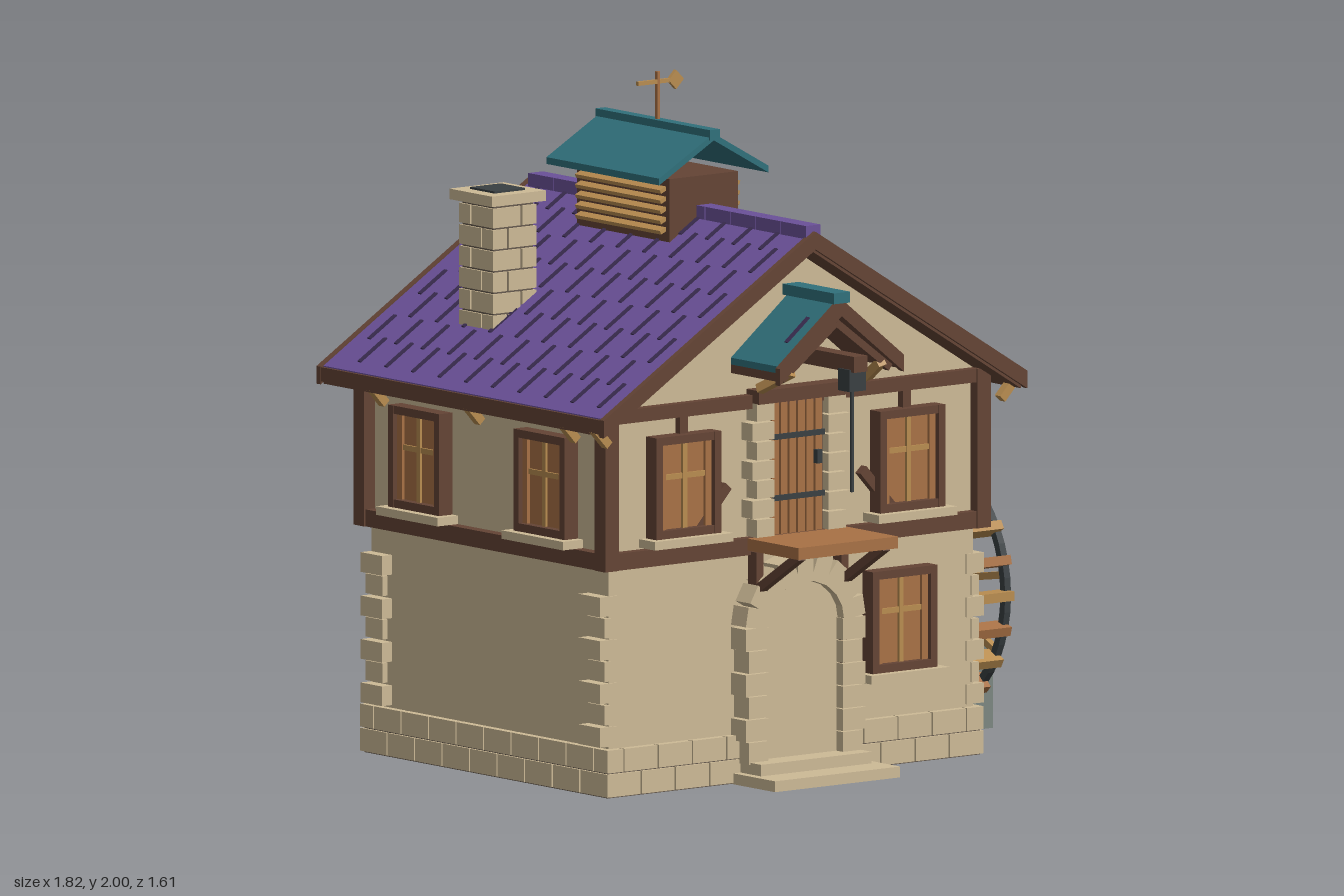
import * as THREE from 'three';

const M = {};
for (const [name, color] of Object.entries({
  limestone: 0xcdba96, mortar: 0x665a4e, timber: 0x644435, wood: 0xa87145, paleWood: 0xb88c50,
  iron: 0x393f42, purpleTile: 0x6b5199, tileShadow: 0x3a2c50, tealTile: 0x30707b, greyStone: 0x7c8781,
})) M[name] = new THREE.MeshStandardMaterial({ color, name });

const C = -0.128, FRONT = 0.475, BACK = -0.64, HALF = 0.675, MIDZ = (FRONT + BACK) / 2, PITCH = 0.615;

function add(parent, name, geo, mat) {
  const m = new THREE.Mesh(geo, mat);
  m.name = name;
  parent.add(m);
  return m;
}
// Box given by its extents on each axis
function box(parent, name, mat, x0, x1, y0, y1, z0, z1) {
  const m = add(parent, name, new THREE.BoxGeometry(x1 - x0, y1 - y0, z1 - z0), mat);
  m.position.set((x0 + x1) / 2, (y0 + y1) / 2, (z0 + z1) / 2);
  return m;
}
// Square bar between two points of the parent's frame
function bar(parent, name, mat, a, b, t = 0.03) {
  const p = new THREE.Vector3(...a), q = new THREE.Vector3(...b);
  const m = add(parent, name, new THREE.BoxGeometry(t, p.distanceTo(q), t), mat);
  m.position.copy(p).add(q).multiplyScalar(0.5);
  m.quaternion.setFromUnitVectors(new THREE.Vector3(0, 1, 0), q.sub(p).normalize());
  return m;
}
function group(parent, name) {
  const g = new THREE.Group();
  g.name = name;
  parent.add(g);
  return g;
}
function extrude(parent, name, mat, pts, z0, z1) {
  const shape = new THREE.Shape(pts.map(p => new THREE.Vector2(...p)));
  const m = add(parent, name, new THREE.ExtrudeGeometry(shape, { depth: z1 - z0, bevelEnabled: false }), mat);
  m.position.z = z0;
  return m;
}
// Two-sided roof slab with vertical thickness t
function chevron(parent, name, mat, top, hw, pitch, t, z0, z1) {
  const e = top - hw * pitch;
  return extrude(parent, name, mat, [[C - hw, e - t], [C, top - t], [C + hw, e - t], [C + hw, e], [C, top], [C - hw, e]], z0, z1);
}
// Window facing +z, origin at its centre on the wall
function windowUnit(parent, x, y, z, ry) {
  const g = group(parent, 'window');
  g.position.set(x, y, z);
  g.rotation.y = ry;
  const w = 0.12, h = 0.15;
  box(g, 'windowPane', M.wood, -w + 0.02, w - 0.02, -h + 0.02, h - 0.02, 0, 0.024);
  for (const s of [-1, 1]) {
    box(g, 'windowJamb', M.timber, s * (w - 0.012) - 0.012, s * (w - 0.012) + 0.012, -h, h, 0, 0.05);
    box(g, 'windowRail', M.timber, -w, w, s * (h - 0.012) - 0.012, s * (h - 0.012) + 0.012, 0, 0.049);
    box(g, 'sashStile', M.wood, s * 0.085 - 0.011, s * 0.085 + 0.011, -h + 0.024, h - 0.024, 0, 0.035);
  }
  box(g, 'mullion', M.paleWood, -0.008, 0.008, -h + 0.024, h - 0.024, 0, 0.032);
  box(g, 'glazingBar', M.paleWood, -0.074, 0.074, 0.02, 0.036, 0, 0.031);
  box(g, 'windowSill', M.limestone, -0.145, 0.145, -h - 0.025, -h, 0, 0.075);
}

function buildWalls(root) {
  const g = group(root, 'walls');
  extrude(g, 'wallBody', M.limestone, [[C - HALF, 0.02], [C + HALF, 0.02], [C + HALF, 1.155], [C, 1.57], [C - HALF, 1.155]], BACK, FRONT);
  box(g, 'foundation', M.mortar, C - 0.69, C + 0.69, 0, 0.14, BACK - 0.015, FRONT + 0.015);
  // Two courses of footing stones on every side
  for (let r = 0; r < 2; r++) {
    const y0 = 0.004 + r * 0.071, y1 = y0 + 0.067;
    for (const [len, isX] of [[1.396, true], [1.165, false]]) {
      const n = isX ? 11 : 9, step = len / n;
      for (let i = 0; i <= n; i++) {
        const a = Math.max(-len / 2, -len / 2 + (i - r * 0.5) * step), b = Math.min(len / 2, -len / 2 + (i + 1 - r * 0.5) * step) - 0.005;
        if (b - a < 0.02) continue;
        for (const s of [-1, 1]) {
          if (isX) {
            const z = s > 0 ? FRONT : BACK;
            box(g, 'footingStone', M.limestone, C + a, C + b, y0, y1, z + s * 0.012 - 0.012, z + s * 0.012 + 0.012);
          } else {
            const x = C + s * (HALF + 0.011);
            box(g, 'footingStone', M.limestone, x - 0.012, x + 0.012, y0, y1, MIDZ + a, MIDZ + b);
          }
        }
      }
    }
  }
  // Corner stones
  for (const s of [-1, 1]) for (const f of [-1, 1]) for (let i = 0; i < 7; i++) {
    const x = C + s * (HALF + 0.005), w = i % 2 ? 0.08 : 0.1, out = i % 2 ? 0.014 : 0.032, zc = f > 0 ? FRONT + 0.005 - w / 2 : BACK - 0.005 + w / 2;
    const y = 0.15 + i * 0.064;
    box(g, 'cornerStone', M.limestone, x - out, x + out, y, y + 0.058, zc - w / 2, zc + w / 2);
  }
}

function buildTimber(root) {
  const g = group(root, 'timberFrame');
  for (const s of [-1, 1]) {
    for (const z of [FRONT + 0.01, BACK - 0.01]) {
      box(g, 'cornerPost', M.timber, C + s * 0.69 - 0.025, C + s * 0.69 + 0.025, 0.67, 1.14, z - 0.025, z + 0.025);
      box(g, 'stud', M.timber, C + s * 0.413 - 0.015, C + s * 0.413 + 0.015, 0.7, 1.12, z - 0.012, z + 0.012);
      bar(g, 'brace', M.timber, [C + s * 0.36, 0.76, z], [C + s * 0.25, 0.88, z], 0.03);
    }
    for (const [a, b] of [[0.67, 0.72], [1.1, 1.14]])
      box(g, 'sideBeam', M.timber, C + s * 0.69 - 0.02, C + s * 0.69 + 0.02, a, b, BACK, FRONT);
    for (const z of [0.37, -0.08, -0.53])
      bar(g, 'eaveBracket', M.paleWood, [C + s * 0.765, 1.1, z], [C + s * 0.715, 1.045, z], 0.026);
    bar(g, 'vergeBracket', M.paleWood, [C + s * 0.775, 1.1, 0.535], [C + s * 0.728, 1.05, 0.535], 0.026);
  }
  for (const z of [FRONT + 0.01, BACK - 0.01]) for (const [a, b] of [[0.67, 0.72], [1.1, 1.14]])
    box(g, 'crossBeam', M.timber, C - 0.7, C + 0.7, a, b, z - 0.02, z + 0.02);
}

function buildRoof(root) {
  const g = group(root, 'roof');
  chevron(g, 'roofDeck', M.timber, 1.585, 0.77, PITCH, 0.03, -0.745, 0.58);
  chevron(g, 'roofTiles', M.purpleTile, 1.612, 0.775, PITCH, 0.028, -0.742, 0.578);
  for (const z of [-0.76, 0.572]) chevron(g, 'vergeBoard', M.timber, 1.616, 0.785, PITCH, 0.052, z, z + 0.02);
  for (const s of [-1, 1]) {
    box(g, 'eaveBoard', M.timber, C + s * 0.778 - 0.006, C + s * 0.778 + 0.006, 1.09, 1.132, -0.75, 0.575);
    // Gaps between tiles
    for (let i = 0; i < 20; i++) for (let k = 0; k < 4; k++) {
      const d = 0.13 + k * 0.187 - (i % 2) * 0.085;
      const m = add(g, 'tileGap', new THREE.BoxGeometry(0.115, 0.007, 0.014), M.tileShadow);
      m.position.set(C + s * d, 1.613 - d * PITCH, 0.51 - i * 0.0625);
      m.rotation.z = -s * Math.atan(PITCH);
    }
  }
  for (let i = 0; i < 11; i++) box(g, 'ridgeTile', M.purpleTile, C - 0.027, C + 0.027, 1.595, 1.634, 0.464 - i * 0.119, 0.58 - i * 0.119);
}

function buildChimney(root) {
  const g = group(root, 'chimney'), x = -0.592, z = -0.315;
  box(g, 'chimneyCore', M.mortar, x - 0.073, x + 0.073, 1.22, 1.65, z - 0.073, z + 0.073);
  for (let r = 0; r < 7; r++) {
    const y = 1.2 + r * 0.063, cut = r % 2 ? -0.025 : 0.025;
    for (const [a, b] of [[-0.08, cut - 0.003], [cut + 0.003, 0.08]]) for (const [c, d] of [[-0.08, -cut - 0.003], [0.003 - cut, 0.08]])
      box(g, 'chimneyStone', M.limestone, x + a, x + b, y, y + 0.057, z + c, z + d);
  }
  box(g, 'chimneyCap', M.limestone, x - 0.1, x + 0.1, 1.645, 1.676, z - 0.1, z + 0.1);
  box(g, 'flue', M.iron, x - 0.057, x + 0.057, 1.67, 1.682, z - 0.057, z + 0.057);
}

function buildCupola(root) {
  const g = group(root, 'cupola'), z = -0.152;
  box(g, 'cupolaBody', M.timber, C - 0.127, C + 0.127, 1.45, 1.72, z - 0.218, z + 0.218);
  for (const s of [-1, 1]) for (let i = 0; i < 5; i++) {
    const m = box(g, 'louvre', M.paleWood, C + s * 0.132 - 0.016, C + s * 0.132 + 0.016, 1.562 + i * 0.03, 1.574 + i * 0.03, z - 0.2, z + 0.2);
    m.rotation.z = -s * 0.4;
  }
  chevron(g, 'cupolaRoof', M.tealTile, 1.848, 0.203, 0.56, 0.02, z - 0.265, z + 0.265);
  box(g, 'cupolaRidge', M.tealTile, C - 0.018, C + 0.018, 1.83, 1.86, z - 0.27, z + 0.27);
  box(g, 'vaneRod', M.wood, C - 0.005, C + 0.005, 1.85, 2, z - 0.005, z + 0.005);
  box(g, 'vaneArm', M.paleWood, C - 0.075, C + 0.06, 1.964, 1.976, z - 0.005, z + 0.005);
  const tip = box(g, 'vaneTip', M.paleWood, C + 0.045, C + 0.085, 1.95, 1.99, z - 0.006, z + 0.006);
  tip.rotation.z = Math.PI / 4;
}

function buildEntrance(root) {
  const g = group(root, 'entrance');
  box(g, 'lowerStep', M.limestone, C - 0.232, C + 0.232, 0, 0.032, FRONT, 0.695);
  box(g, 'upperStep', M.limestone, C - 0.205, C + 0.205, 0.032, 0.066, FRONT, 0.595);
  const arc = Array.from({ length: 13 }, (_, i) => [C + 0.15 * Math.cos(i * Math.PI / 12), 0.46 + 0.14 * Math.sin(i * Math.PI / 12)]);
  extrude(g, 'lowerDoor', M.limestone, [[C - 0.15, 0.06], [C + 0.15, 0.06], ...arc], FRONT, 0.515);
  for (const s of [-1, 1]) {
    for (let i = 0; i < 6; i++) {
      const o = i % 2 ? 0.222 : 0.21;
      box(g, 'jambStone', M.limestone, C + s * (o + 0.138) / 2 - (o - 0.138) / 2, C + s * (o + 0.138) / 2 + (o - 0.138) / 2, 0.06 + i * 0.067, 0.124 + i * 0.067, FRONT, 0.545);
    }
    box(g, 'porchPost', M.timber, C + s * 0.158 - 0.013, C + s * 0.158 + 0.013, 0.29, 0.68, 0.49, 0.53);
    bar(g, 'porchStrut', M.timber, [C + s * 0.157, 0.56, 0.51], [C + s * 0.157, 0.69, 0.72], 0.026);
    // Stones beside the loft door
    for (let i = 0; i < 7; i++) {
      const o = i % 2 ? 0.182 : 0.165;
      box(g, 'loftJambStone', M.limestone, C + s * (o + 0.1) / 2 - (o - 0.1) / 2, C + s * (o + 0.1) / 2 + (o - 0.1) / 2, 0.722 + i * 0.057, 0.774 + i * 0.057, FRONT, 0.525);
    }
  }
  for (let i = 0; i < 9; i++) {
    const a = (i + 0.5) * Math.PI / 9;
    const m = add(g, 'archStone', new THREE.BoxGeometry(0.08, 0.058, 0.07), M.limestone);
    m.position.set(C + 0.18 * Math.cos(a), 0.46 + 0.16 * Math.sin(a), 0.51);
    m.rotation.z = a;
  }
  box(g, 'porchDeck', M.wood, C - 0.185, C + 0.185, 0.685, 0.72, FRONT, 0.745);
  box(g, 'loftDoorBack', M.timber, C - 0.1, C + 0.1, 0.72, 1.12, FRONT, 0.498);
  for (let i = 0; i < 6; i++) box(g, 'loftPlank', M.wood, C - 0.095 + i * 0.032, C - 0.07 + i * 0.032, 0.722, 1.115, 0.49, 0.508);
  for (const y of [0.83, 1.01]) box(g, 'hingeStrap', M.iron, C - 0.095, C + 0.095, y - 0.008, y + 0.008, 0.5, 0.515);
  box(g, 'latch', M.iron, C + 0.06, C + 0.078, 0.92, 0.96, 0.5, 0.525);
  box(g, 'loftLintel', M.timber, C - 0.165, C + 0.165, 1.115, 1.155, FRONT, 0.535);
  // Hoist canopy
  const h = group(root, 'hoistCanopy');
  chevron(h, 'canopyTiles', M.tealTile, 1.43, 0.222, 0.8, 0.02, FRONT, 0.7);
  chevron(h, 'canopyDeck', M.timber, 1.41, 0.222, 0.8, 0.025, FRONT, 0.7);
  chevron(h, 'canopyVerge', M.timber, 1.432, 0.23, 0.8, 0.05, 0.695, 0.715);
  box(h, 'canopyRidge', M.tealTile, C - 0.03, C + 0.03, 1.42, 1.452, FRONT, 0.716);
  for (const s of [-1, 1]) {
    const m = add(h, 'canopyTileGap', new THREE.BoxGeometry(0.105, 0.007, 0.014), M.tileShadow);
    m.position.set(C + s * 0.11, 1.431 - 0.088, 0.645);
    m.rotation.z = -s * Math.atan(0.8);
    bar(h, 'canopyBracket', M.paleWood, [C + s * 0.2, 1.17, 0.58], [C + s * 0.165, 1.23, 0.69], 0.026);
    bar(h, 'canopyRafter', M.timber, [C, 1.36, 0.68], [C + s * 0.2, 1.21, 0.68], 0.022);
  }
  box(h, 'hoistBeam', M.timber, C - 0.025, C + 0.025, 1.228, 1.275, FRONT, 0.805);
  box(h, 'pulley', M.iron, C - 0.03, C + 0.03, 1.17, 1.235, 0.735, 0.79);
  box(h, 'rope', M.iron, C - 0.004, C + 0.004, 0.87, 1.18, 0.758, 0.766);
}

function buildBackWindow(root) {
  const g = group(root, 'roundWindow');
  g.position.set(C, 1.28, BACK);
  g.rotation.y = Math.PI;
  const glass = add(g, 'roundGlass', new THREE.CylinderGeometry(0.085, 0.085, 0.02, 24), M.tealTile);
  glass.rotation.x = Math.PI / 2;
  for (let i = 0; i < 12; i++) {
    const a = i * Math.PI / 6, m = add(g, 'ringStone', new THREE.BoxGeometry(0.03, 0.047, 0.05), M.limestone);
    m.position.set(0.094 * Math.cos(a), 0.094 * Math.sin(a), 0.01);
    m.rotation.z = a;
  }
  box(g, 'roundMullion', M.wood, -0.008, 0.008, -0.08, 0.08, 0, 0.02);
  box(g, 'roundBar', M.wood, -0.08, 0.08, -0.008, 0.008, 0, 0.019);
}

function buildWheel(root) {
  const g = group(root, 'waterWheel');
  g.position.set(0.743, 0.413, -0.133);
  const ring = new THREE.Shape().absarc(0, 0, 0.39, 0, Math.PI * 2);
  ring.holes.push(new THREE.Path().absarc(0, 0, 0.367, 0, Math.PI * 2, true));
  for (const x of [-0.117, 0.095]) {
    const rim = add(g, 'wheelRim', new THREE.ExtrudeGeometry(ring, { depth: 0.022, bevelEnabled: false, curveSegments: 24 }), M.iron);
    rim.rotation.y = Math.PI / 2;
    rim.position.x = x;
    for (let i = 0; i < 10; i++) {
      const a = (i + 0.25) * Math.PI / 5, xs = x + 0.011;
      bar(g, 'spoke', M.paleWood, [xs, 0, 0], [xs, 0.37 * Math.sin(a), 0.37 * Math.cos(a)], 0.021);
    }
  }
  for (let i = 0; i < 24; i++) {
    const a = i * Math.PI / 12, m = add(g, 'paddle', new THREE.BoxGeometry(0.226, 0.056, 0.028), i % 2 ? M.wood : M.paleWood);
    m.position.set(0, 0.382 * Math.cos(a), 0.382 * Math.sin(a));
    m.rotation.x = a;
  }
  box(g, 'axle', M.timber, -0.18, 0.165, -0.026, 0.026, -0.026, 0.026);
  for (const x of [-0.11, 0.125]) box(g, 'hubPlate', M.iron, x - 0.018, x + 0.018, -0.055, 0.055, -0.055, 0.055).rotation.x = Math.PI / 4;
  // Stone piers carrying the axle
  for (const z of [0.05, -0.32]) {
    box(root, 'pier', M.greyStone, 0.79, 0.908, 0, 0.255, z - 0.06, z + 0.06);
    bar(root, 'pierStrut', M.timber, [0.862, 0.23, z], [0.862, 0.41, -0.133], 0.035);
  }
}

function buildFlume(root) {
  const g = group(root, 'flume');
  box(g, 'flumeFloor', M.wood, 0.64, 0.85, 0.785, 0.81, -0.8, -0.19);
  for (const x of [0.635, 0.85]) {
    box(g, 'flumeSide', M.timber, x - 0.011, x + 0.011, 0.775, 0.872, -0.805, -0.184);
    for (const z of [-0.405, -0.75]) box(g, 'flumePost', M.timber, x - 0.018, x + 0.018, 0, 0.78, z - 0.02, z + 0.02);
  }
  for (const z of [-0.405, -0.75]) {
    box(g, 'flumeBearer', M.timber, 0.625, 0.865, 0.75, 0.785, z - 0.018, z + 0.018);
    bar(g, 'flumeBrace', M.paleWood, [0.645, 0.38, z], [0.845, 0.7, z], 0.022);
  }
  box(g, 'sluiceGate', M.wood, 0.642, 0.842, 0.81, 0.968, -0.728, -0.708);
  box(g, 'gateRod', M.iron, 0.734, 0.75, 0.95, 1.05, -0.726, -0.71);
  box(g, 'gateHandle', M.iron, 0.685, 0.8, 1.042, 1.06, -0.728, -0.708);
}

export function createModel() {
  const root = new THREE.Group();
  root.name = 'watermill';
  buildWalls(root);
  buildTimber(root);
  buildRoof(root);
  buildChimney(root);
  buildCupola(root);
  buildEntrance(root);
  buildBackWindow(root);
  for (const [x, y] of [[-0.545, 0.9], [0.285, 0.9], [0.257, 0.43]]) windowUnit(root, x, y, FRONT, 0);
  for (const s of [-1, 1]) for (const z of [0.21, -0.38]) windowUnit(root, C + s * HALF, 0.895, z, s * Math.PI / 2);
  buildWheel(root);
  buildFlume(root);
  return root;
}
